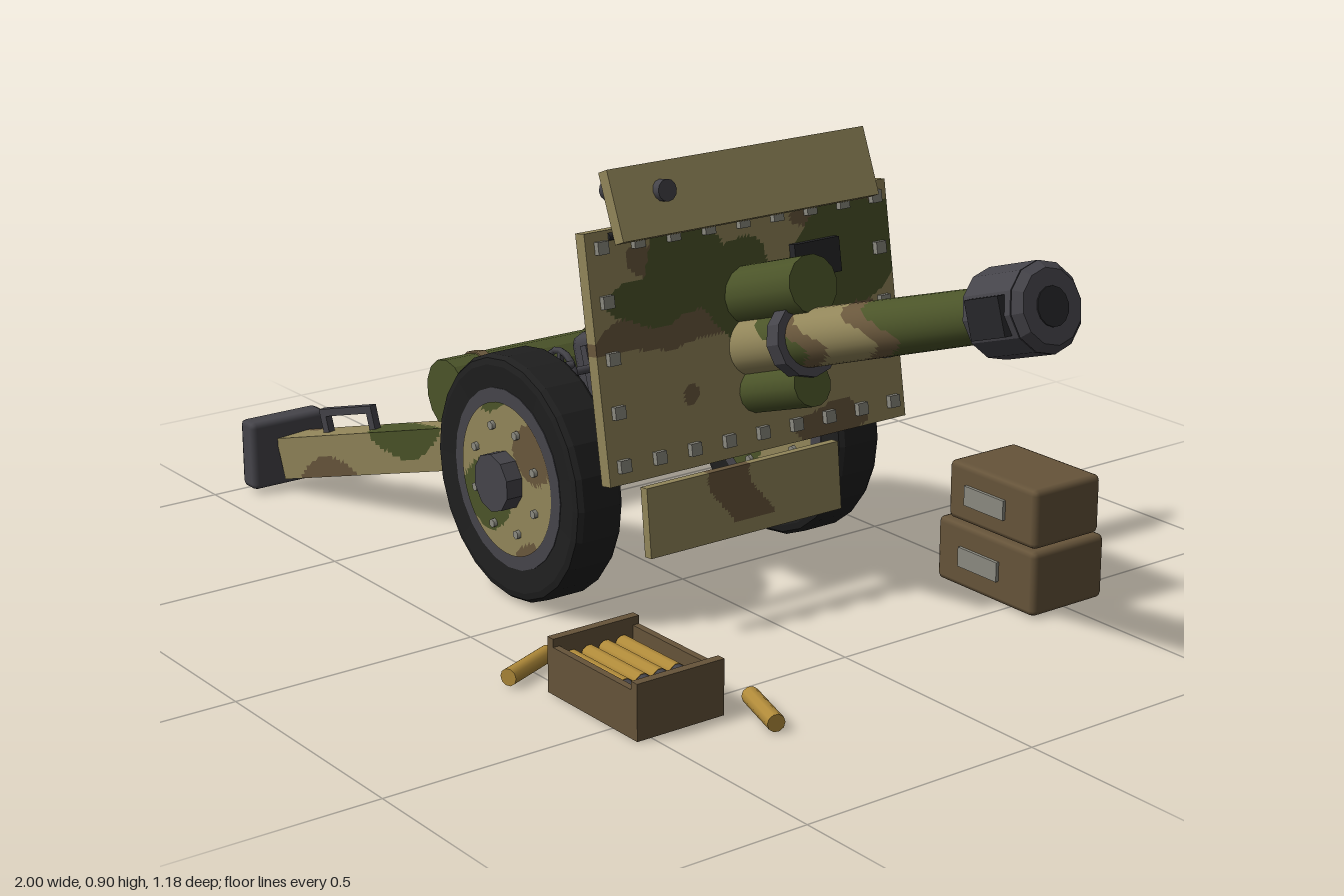
import * as THREE from 'three';
import { RoundedBoxGeometry } from 'three/addons/geometries/RoundedBoxGeometry.js';

const mat = (name, color) => Object.assign(new THREE.MeshStandardMaterial({ color }), { name });
const tan = mat('sandPaint', 0x92865a), green = mat('greenPaint', 0x4b5429), brown = mat('brownPaint', 0x69573c);
const steel = mat('gunmetal', 0x45444a), rubber = mat('rubber', 0x1f1f1f), black = mat('blackMetal', 0x27272a);
const brass = mat('brass', 0xb18b3a), wood = mat('crateWood', 0x66543a), bolt = mat('boltMetal', 0x8b8a80);
const paints = [tan, green, brown];

function add(parent, name, geo, material, x = 0, y = 0, z = 0) {
  const m = new THREE.Mesh(geo, material);
  m.name = name;
  m.position.set(x, y, z);
  parent.add(m);
  return m;
}
function group(parent, name, x = 0, y = 0, z = 0) {
  const g = new THREE.Group();
  g.name = name;
  g.position.set(x, y, z);
  parent.add(g);
  return g;
}
const box = (w, h, d, ...s) => new THREE.BoxGeometry(w, h, d, ...s);
const bevel = (w, h, d, r = 0.012) => new RoundedBoxGeometry(w, h, d, 1, r);
// Cylinders along x (r0 at the -x end) and along z
const cylX = (r0, r1, len, n = 20, hs = 1) => new THREE.CylinderGeometry(r1, r0, len, n, hs).rotateZ(-Math.PI / 2);
const cylZ = (r, len, n = 20) => new THREE.CylinderGeometry(r, r, len, n).rotateX(Math.PI / 2);
const faceted = (geo) => { const g = geo.toNonIndexed(); g.computeVertexNormals(); return g; };

// Sorts triangles into paint groups: rule(x, y, z) gives 0 sand, 1 green, 2 brown
function camo(geo, rule) {
  const p = geo.attributes.position;
  const idx = geo.index ? Array.from(geo.index.array) : Array.from({ length: p.count }, (_, i) => i);
  const lists = [[], [], []];
  for (let i = 0; i < idx.length; i += 3) {
    const [a, b, c] = idx.slice(i, i + 3);
    const mid = ['getX', 'getY', 'getZ'].map((f) => (p[f](a) + p[f](b) + p[f](c)) / 3);
    lists[rule(...mid)].push(a, b, c);
  }
  geo.clearGroups();
  let start = 0;
  lists.forEach((l, i) => { geo.addGroup(start, l.length, i); start += l.length; });
  geo.setIndex(lists.flat());
  return geo;
}
const blotches = (scale, seed) => (x, y, z) => {
  const n = Math.sin(x * scale + seed + 1.5 * Math.sin(z * scale * 0.8 + seed)) + 0.8 * Math.sin(y * scale * 1.3 + z * scale + seed * 2);
  return n > 0.75 ? 1 : n < -1.0 ? 2 : 0;
};

// Shield patches as ellipses: [z, y, radius z, radius y]
const greenPatches = [[0.144, 0.148, 0.09, 0.1], [0.21, 0.09, 0.11, 0.045], [0.03, 0.09, 0.09, 0.09],
  [-0.25, 0.115, 0.14, 0.1], [-0.155, 0.02, 0.1, 0.07], [-0.09, -0.02, 0.08, 0.05]];
const brownPatches = [[0.28, 0.03, 0.09, 0.03], [0.145, 0.035, 0.1, 0.04], [0.16, -0.1, 0.02, 0.02],
  [-0.22, 0.2, 0.11, 0.03], [-0.17, -0.21, 0.09, 0.035], [0.23, 0.17, 0.05, 0.03], [-0.24, 0.0, 0.06, 0.04]];
function shieldRule(x, y, z) {
  const u = z + 0.008 * Math.sin(y * 45), v = y + 0.008 * Math.sin(z * 38);
  const hit = (list) => list.some(([a, b, ra, rb]) => ((u - a) / ra) ** 2 + ((v - b) / rb) ** 2 < 1);
  return hit(greenPatches) ? 1 : hit(brownPatches) ? 2 : 0;
}

function buildBarrel(carriage) {
  const g = group(carriage, 'elevatingGun', -0.1, 0.432, 0);
  g.rotation.z = 0.314;
  // Barrel painted in wavy bands along its length
  const bands = (x, y, z) => {
    const s = x + 0.55 + 0.04 * Math.sin(Math.atan2(z, y) * 2 + 1) + 0.02 * Math.sin(y * 60);
    const edges = [[0.3, 2], [0.5, 0], [0.56, 1], [0.62, 2], [0.76, 0], [0.82, 2], [2, 1]];
    return edges.find(([e]) => s < e)[1];
  };
  add(g, 'barrel', camo(cylX(0.062, 0.048, 1.1, 32, 90), bands), paints, 0.45);
  add(g, 'barrelCollar', faceted(cylX(0.073, 0.073, 0.035, 12)), steel, 0.452);
  add(g, 'muzzleBrake', faceted(cylX(0.08, 0.08, 0.12, 12)), steel, 1.057);
  for (const [s, a, b] of [[0.99, 0.066, 0.08], [1.127, 0.08, 0.066]])
    add(g, 'muzzleBrakeChamfer', faceted(cylX(a, b, 0.015, 12)), steel, s);
  add(g, 'bore', cylX(0.035, 0.035, 0.006, 14), black, 1.134);
  add(g, 'muzzlePorts', box(0.085, 0.07, 0.174), black, 1.06);
  add(g, 'recuperator', cylX(0.056, 0.056, 0.61, 14), green, 0.208, 0.097);
  add(g, 'recoilCylinder', cylX(0.043, 0.043, 0.5, 14), green, 0.205, -0.085);
  add(g, 'breech', bevel(0.16, 0.15, 0.155, 0.025), steel, -0.135);
  add(g, 'breechLever', box(0.02, 0.1, 0.02), steel, -0.13, 0.0, 0.088);
}

function buildShield(carriage) {
  const s = group(carriage, 'shield', 0.163, 0.553, 0);
  s.rotation.z = 0.165;
  add(s, 'shieldPlate', camo(box(0.028, 0.47, 0.714, 1, 60, 90), shieldRule), paints);
  const rivet = (y, z) => add(s, 'shieldRivet', box(0.014, 0.024, 0.024), bolt, 0.019, y, z);
  for (let i = 0; i < 9; i++) for (const y of [-0.2, 0.205]) rivet(y, -0.325 + i * 0.08125);
  for (const y of [-0.1, 0, 0.105]) for (const z of [-0.325, 0.325]) rivet(y, z);
  add(s, 'sightWindow', box(0.04, 0.068, 0.11), black, 0.01, 0.11, -0.163);
  add(s, 'shieldHinge', cylZ(0.008, 0.61, 8), black, 0.012, 0.222);
  add(carriage, 'upperFlap', box(0.028, 0.135, 0.606), tan, 0.147, 0.83, 0).rotation.z = 0.39;
  const patch = (x, y, z) => (Math.abs(z - 0.01 - 0.03 * Math.sin(y * 30)) < 0.05 && y > -0.04 ? 2 : 0);
  add(carriage, 'lowerApron', camo(box(0.02, 0.137, 0.466, 1, 24, 70), patch), paints, 0.155, 0.21, 0).rotation.z = 0.1;
  add(carriage, 'sightTube', cylX(0.021, 0.021, 0.19, 12), steel, 0.078, 0.833, 0.193).rotation.z = 0.19;
}

function buildWheel(carriage, side) {
  const w = group(carriage, 'wheel', -0.115, 0.25, side * 0.316);
  if (side < 0) w.rotation.y = Math.PI;
  const profile = [[0.175, -0.048], [0.225, -0.053], [0.238, -0.05], [0.245, -0.04], [0.245, 0.04],
    [0.238, 0.05], [0.225, 0.053], [0.175, 0.048]].map(([r, y]) => new THREE.Vector2(r, y));
  add(w, 'tyre', faceted(new THREE.LatheGeometry(profile, 24).rotateX(Math.PI / 2)), rubber);
  add(w, 'rim', cylZ(0.18, 0.1, 24), steel);
  for (const f of [1, -1]) {
    const disc = camo(new THREE.RingGeometry(0.03, 0.152, 60, 16), blotches(20, side + f * 0.4));
    add(w, 'wheelDisc', disc, paints, 0, 0, f * 0.052).rotation.y = f > 0 ? 0 : Math.PI;
    for (let i = 0; i < 8; i++) {
      const a = (i + 0.5) * Math.PI / 4;
      add(w, 'wheelBolt', cylZ(0.009, 0.012, 6), bolt, 0.108 * Math.cos(a), 0.108 * Math.sin(a), f * 0.054);
    }
  }
  add(w, 'hub', faceted(cylZ(0.058, 0.14, 10)), steel, 0, 0, 0.017);
}

function buildTrail(carriage, side) {
  // Beam from the carriage down to the spade
  const a = new THREE.Vector3(-0.95, 0.073, side * 0.365), b = new THREE.Vector3(-0.1, 0.29, side * 0.1);
  const d = b.clone().sub(a), len = d.length(), mid = a.clone().add(b).multiplyScalar(0.5);
  const t = group(carriage, 'trail', mid.x, mid.y, mid.z);
  t.rotation.order = 'YZX';
  t.rotation.set(0, Math.atan2(-d.z, d.x), Math.asin(d.y / len));
  add(t, 'trailBeam', camo(box(len, 0.09, 0.075, 90, 10, 8), blotches(13, side > 0 ? 2.9 : 1.6)), paints);
  // Carrying handle
  const hx = -len / 2 + 0.19;
  add(t, 'handleBar', box(0.15, 0.016, 0.018), steel, hx, 0.088, 0);
  for (const k of [-1, 1]) add(t, 'handlePost', box(0.016, 0.045, 0.018), steel, hx + k * 0.067, 0.065, 0);
  add(carriage, 'spade', bevel(0.055, 0.15, 0.182), steel, -0.973, 0.085, side * 0.372);
}

function buildCarriage(root) {
  const c = group(root, 'fieldGun', 0, 0, -0.03);
  add(c, 'axle', cylZ(0.037, 0.64, 14), steel, -0.115, 0.25, 0);
  const saddle = camo(box(0.3, 0.18, 0.18, 40, 24, 24), blotches(15, 0.5));
  // Round the upper edges of the saddle
  const p = saddle.attributes.position;
  for (let i = 0; i < p.count; i++) {
    const h = Math.max(0, p.getY(i) - 0.06) / 0.03;
    p.setX(i, p.getX(i) * (1 - 0.08 * h * h));
    p.setZ(i, p.getZ(i) * (1 - 0.2 * h * h));
  }
  saddle.computeVertexNormals();
  add(c, 'saddle', saddle, paints, -0.045, 0.405, 0);
  add(c, 'lowerCarriage', bevel(0.2, 0.12, 0.22), green, -0.1, 0.29, 0);
  for (const side of [1, -1]) {
    buildWheel(c, side);
    buildTrail(c, side);
    // Aiming handwheels
    const h = group(c, 'handwheel', -0.21, 0.4, side * 0.172);
    add(h, 'handwheelRim', new THREE.TorusGeometry(0.05, 0.007, 6, 16), steel);
    for (const r of [0, Math.PI / 2]) add(h, 'handwheelSpoke', box(0.1, 0.01, 0.01), steel).rotation.z = r;
    add(h, 'handwheelShaft', cylZ(0.009, 0.11, 8), steel, 0, 0, -side * 0.05);
    add(h, 'handwheelGrip', cylZ(0.009, 0.04, 8), steel, 0.04, 0.03, side * 0.02);
  }
  buildBarrel(c);
  buildShield(c);
  // Rolled tarpaulin resting across the trails
  add(c, 'bedroll', faceted(cylZ(0.075, 0.44, 14)), green, -0.555, 0.28, 0);
  for (const z of [-0.165, 0.135]) add(c, 'bedrollStrap', faceted(cylZ(0.079, 0.022, 14)), brown, -0.555, 0.28, z);
}

function buildAmmunition(root) {
  // Closed crates
  for (const [name, x, y, z, w, h, d] of [['lowerCrate', 0.437, 0.07, -0.497, 0.275, 0.132, 0.186],
    ['upperCrate', 0.45, 0.2, -0.49, 0.245, 0.12, 0.172]]) {
    const c = group(root, name, x, y, z);
    add(c, 'crateBody', bevel(w, h, d), wood);
    for (const s of [-1, 1]) add(c, 'crateLabel', box(0.11, 0.04, 0.008), bolt, -0.015, 0, s * (d / 2 + 0.003));
  }
  // Open crate with shells
  const o = group(root, 'openCrate', 0.437, 0, 0.435);
  add(o, 'crateFloor', box(0.26, 0.02, 0.18), wood, 0, 0.012, 0);
  for (const s of [-1, 1]) {
    add(o, 'crateEnd', box(0.018, 0.108, 0.19), wood, s * 0.127, 0.056, 0);
    add(o, 'crateSide', box(0.24, 0.092, 0.014), wood, 0, 0.048, s * 0.088);
  }
  for (let i = 0; i < 4; i++) {
    const z = -0.056 + i * 0.0375;
    add(o, 'shellCase', cylX(0.017, 0.017, 0.165, 10), brass, -0.033, 0.065, z);
    add(o, 'shellTip', cylX(0.016, 0.002, 0.062, 10), steel, 0.08, 0.065, z);
  }
  // Spent cases on the ground
  for (const [x, z, r] of [[0.215, 0.515, -1.176], [0.627, 0.295, -0.31]])
    add(root, 'spentCase', cylX(0.017, 0.017, 0.13, 10), brass, x, 0.021, z).rotation.y = r;
}

export function createModel() {
  const root = new THREE.Group();
  root.name = 'fieldGunSet';
  buildCarriage(root);
  buildAmmunition(root);
  return root;
}
